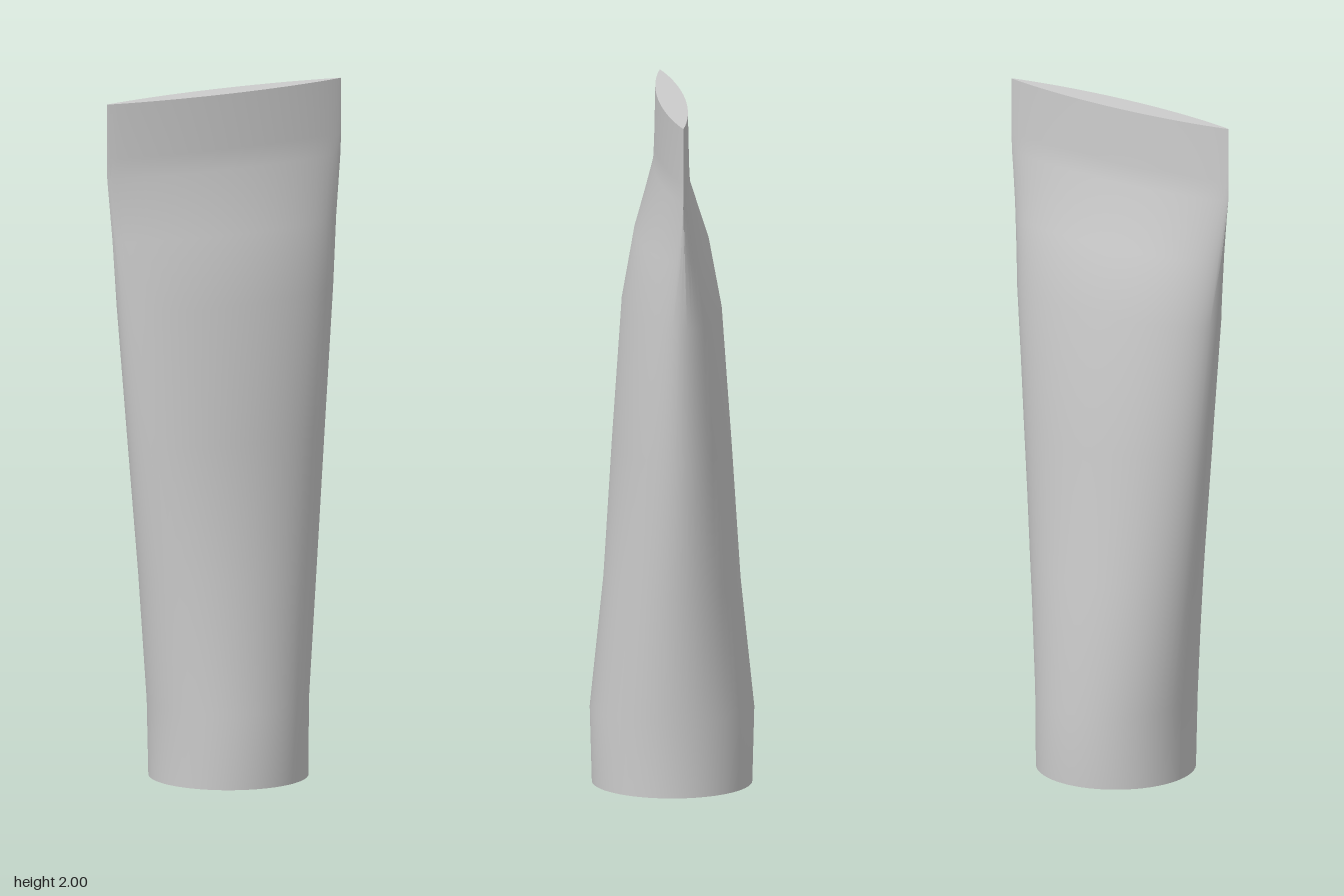
import * as THREE from 'three';
import { toCreasedNormals } from 'three/addons/utils/BufferGeometryUtils.js';

// Cross-sections from bottom to top: [y, left x, right x, half depth, sharpness of the tips]
// A sharpness of 1 is an ellipse, 2 a pointed lens.
const SECTIONS = [
  [0, -0.216, 0.243, 0.23, 1],
  [0.22, -0.22, 0.243, 0.236, 1],
  [0.6, -0.262, 0.283, 0.196, 1],
  [1.0, -0.305, 0.317, 0.17, 1],
  [1.4, -0.346, 0.35, 0.141, 1],
  [1.6, -0.367, 0.367, 0.104, 1.2],
  [1.78, -0.386, 0.383, 0.046, 1.6],
  [1.84, -0.387, 0.385, 0.043, 1.75],
  [2, -0.387, 0.385, 0.039, 1.8],
];

// Reshapes a capped unit cylinder so each ring follows its cross-section
function loftGeometry(sections, sides) {
  const rows = sections.length - 1;
  const geometry = new THREE.CylinderGeometry(1, 1, rows, sides, rows);
  const pos = geometry.attributes.position;
  for (let i = 0; i < pos.count; i++) {
    const [y, x0, x1, depth, sharp] = sections[Math.round(pos.getY(i) + rows / 2)];
    const x = pos.getX(i), z = pos.getZ(i);
    pos.setXYZ(i,
      (x0 + x1) / 2 + x * (x1 - x0) / 2,
      y,
      Math.sign(z) * depth * Math.pow(Math.abs(z), sharp));
  }
  return toCreasedNormals(geometry, 0.7);
}

export function createModel() {
  const group = new THREE.Group();
  group.name = 'flattenedTube';

  // Round at the foot, pinched flat and wide at the top
  const body = new THREE.Mesh(
    loftGeometry(SECTIONS, 64),
    new THREE.MeshStandardMaterial({ color: 0xcccccc }));
  body.name = 'tubeBody';
  group.add(body);

  return group;
}
